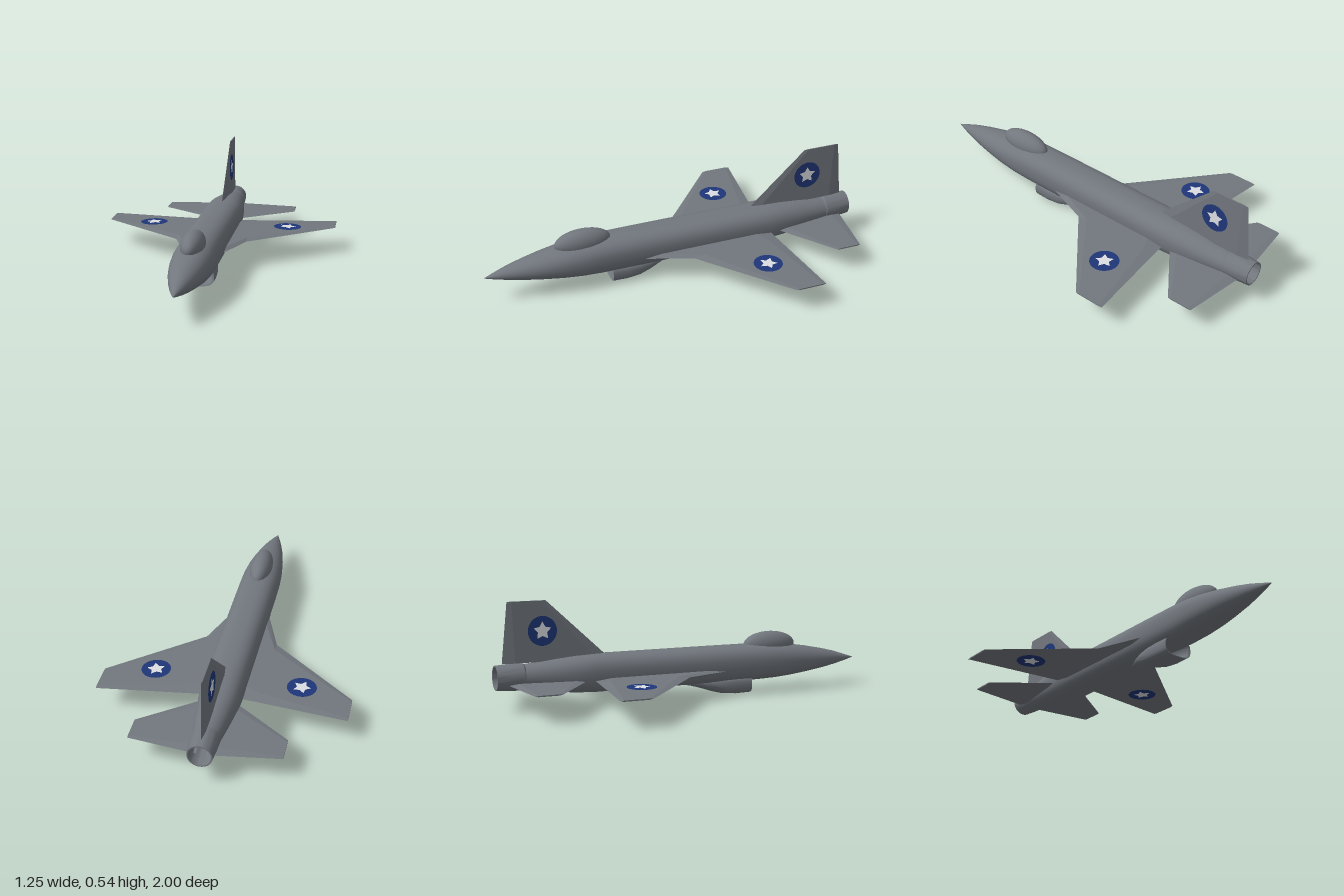
import * as THREE from 'three';
import { toCreasedNormals } from 'three/addons/utils/BufferGeometryUtils.js';

const material = (name, color) => {
  const m = new THREE.MeshStandardMaterial({ color });
  m.name = name;
  return m;
};

// Joins closed rings of equal length into a skin; the last ring can be capped.
function loft(rings, cap = false) {
  const n = rings[0].length, index = [];
  for (let i = 0; i < rings.length - 1; i++) {
    for (let j = 0; j < n; j++) {
      const a = i * n + j, b = i * n + (j + 1) % n, c = a + n, d = b + n;
      index.push(a, c, b, b, c, d);
    }
  }
  if (cap) {
    const s = (rings.length - 1) * n;
    for (let j = 1; j < n - 1; j++) index.push(s, s + j + 1, s + j);
  }
  const g = new THREE.BufferGeometry();
  g.setAttribute('position', new THREE.Float32BufferAttribute(rings.flat(2), 3));
  g.setIndex(index);
  g.computeVertexNormals();
  return g;
}

// Superellipse ring across z, from bottom to top height.
function ring([z, halfWidth, bottom, top, power = 2], sides = 40) {
  const f = v => Math.sign(v) * Math.abs(v) ** (2 / power);
  return Array.from({ length: sides }, (_, j) => {
    const a = j / sides * Math.PI * 2;
    return [halfWidth * f(Math.cos(a)), (bottom + top) / 2 + (top - bottom) / 2 * f(Math.sin(a)), z];
  });
}

// Thin tapered panel along +x; stations are [span, leading z, trailing z, half thickness].
function panelGeometry(stations) {
  const rings = stations.map(([x, lead, trail, t]) => {
    const z = k => lead + (trail - lead) * k;
    return [[x, 0, lead], [x, t, z(0.12)], [x, t, z(0.88)], [x, 0, trail], [x, -t, z(0.88)], [x, -t, z(0.12)]];
  });
  return toCreasedNormals(loft(rings, true), 0.1);
}

function starGeometry(outer, inner) {
  const points = Array.from({ length: 10 }, (_, i) => {
    const a = i / 10 * Math.PI * 2, r = i % 2 ? inner : outer;
    return new THREE.Vector2(Math.cos(a) * r, Math.sin(a) * r);
  });
  return new THREE.ShapeGeometry(new THREE.Shape(points));
}

export function createModel() {
  const grey = material('airframe grey', 0x72777e);
  const blue = material('marking blue', 0x1f3678);
  const white = material('marking white', 0xdcdee2);

  const model = new THREE.Group();
  model.name = 'jetAircraft';
  const add = (parent, name, geometry, mat) => {
    const mesh = new THREE.Mesh(geometry, mat);
    mesh.name = name;
    parent.add(mesh);
    return mesh;
  };

  // Fuselage: [z, half width, bottom, top, roundness]
  add(model, 'fuselage', loft([
    [1, 0.0008, 0.144, 0.146], [0.95, 0.019, 0.131, 0.163], [0.88, 0.041, 0.115, 0.186],
    [0.8, 0.062, 0.1, 0.206], [0.7, 0.082, 0.086, 0.226, 2.1], [0.6, 0.096, 0.075, 0.241, 2.25],
    [0.5, 0.103, 0.068, 0.25, 2.4], [0.4, 0.104, 0.065, 0.254, 2.5], [0.2, 0.104, 0.064, 0.255, 2.5],
    [-0.5, 0.104, 0.064, 0.255, 2.5], [-0.6, 0.1, 0.068, 0.251, 2.4], [-0.7, 0.089, 0.078, 0.242, 2.2],
    [-0.8, 0.076, 0.091, 0.23, 2.1], [-0.88, 0.064, 0.1, 0.222],
  ].map(s => ring(s))), grey);

  // Open exhaust nozzle, with its inner wall and end plate
  const nozzleProfile = [[0.055, 0.85], [0.069, 0.865], [0.067, 0.92], [0.061, 1], [0.055, 1], [0.05, 0.89], [0, 0.89]]
    .map(([r, y]) => new THREE.Vector2(r, y));
  const nozzleGeometry = toCreasedNormals(new THREE.LatheGeometry(nozzleProfile, 40), 0.5);
  nozzleGeometry.rotateX(-Math.PI / 2);
  add(model, 'exhaustNozzle', nozzleGeometry, grey).position.y = 0.165;

  // Canopy bubble
  const canopy = add(model, 'canopy', new THREE.SphereGeometry(1, 32, 24), grey);
  canopy.scale.set(0.058, 0.068, 0.147);
  canopy.position.set(0, 0.248, 0.485);

  // Chin intake: inner duct, lip, then outer skin fading into the belly
  add(model, 'chinIntake', toCreasedNormals(loft([
    [0.1, 0.002, 0.06, 0.064, 3], [0.2, 0.045, 0.03, 0.08, 3], [0.345, 0.072, 0.009, 0.094, 3],
    [0.35, 0.08, 0.002, 0.1, 3], [0.27, 0.081, 0, 0.1, 3], [0.2, 0.077, 0.005, 0.1, 2.8],
    [0.14, 0.064, 0.02, 0.1, 2.5], [0.08, 0.046, 0.04, 0.1, 2.2], [0.03, 0.027, 0.054, 0.1],
    [-0.02, 0.008, 0.063, 0.1],
  ].map(s => ring(s, 32))), 0.7), grey);

  // Round marking with a star, on both faces of a panel
  const disc = new THREE.CircleGeometry(0.074, 32);
  const star = starGeometry(0.047, 0.025);
  const addMarkings = (panel, x, z, halfThickness, slope) => {
    for (const side of [1, -1]) {
      const marking = new THREE.Group();
      marking.name = side > 0 ? 'markingA' : 'markingB';
      marking.position.set(x, side * (halfThickness + 0.0012), z);
      marking.rotation.set(-side * Math.PI / 2, side * slope, 0);
      // Tilt follows the thinning of the panel
      marking.rotation.order = 'ZYX';
      marking.rotation.set(-side * Math.PI / 2, 0, -side * slope);
      add(marking, 'disc', disc, blue);
      add(marking, 'star', star, white).position.z = 0.0012;
      panel.add(marking);
    }
  };

  // Wings and tailplanes, the right side being the left turned over
  const wing = panelGeometry([
    [0.05, 0.33, -0.515, 0.0118], [0.104, 0.18, -0.52, 0.011],
    [0.185, -0.05, -0.529, 0.0098], [0.625, -0.42, -0.58, 0.003],
  ]);
  const tailplane = panelGeometry([
    [0.03, -0.52, -0.948, 0.008], [0.104, -0.575, -0.939, 0.007], [0.37, -0.772, -0.905, 0.003],
  ]);
  for (const [side, angle] of [['left', 0], ['right', Math.PI]]) {
    for (const [part, geometry] of [['Wing', wing], ['Tailplane', tailplane]]) {
      const panel = new THREE.Group();
      panel.name = side + part;
      panel.position.y = 0.133;
      panel.rotation.z = angle;
      add(panel, side + part + 'Skin', geometry, grey);
      if (part === 'Wing') addMarkings(panel, 0.37, -0.38, 0.0069, 0.0154);
      model.add(panel);
    }
  }

  // Tail fin, a panel stood upright
  const fin = new THREE.Group();
  fin.name = 'tailFin';
  fin.rotation.z = Math.PI / 2;
  add(fin, 'tailFinSkin', panelGeometry([
    [0.232, -0.415, -0.965, 0.009], [0.255, -0.44, -0.963, 0.0085], [0.535, -0.74, -0.935, 0.003],
  ]), grey);
  addMarkings(fin, 0.385, -0.76, 0.0059, 0.0196);
  model.add(fin);

  return model;
}
